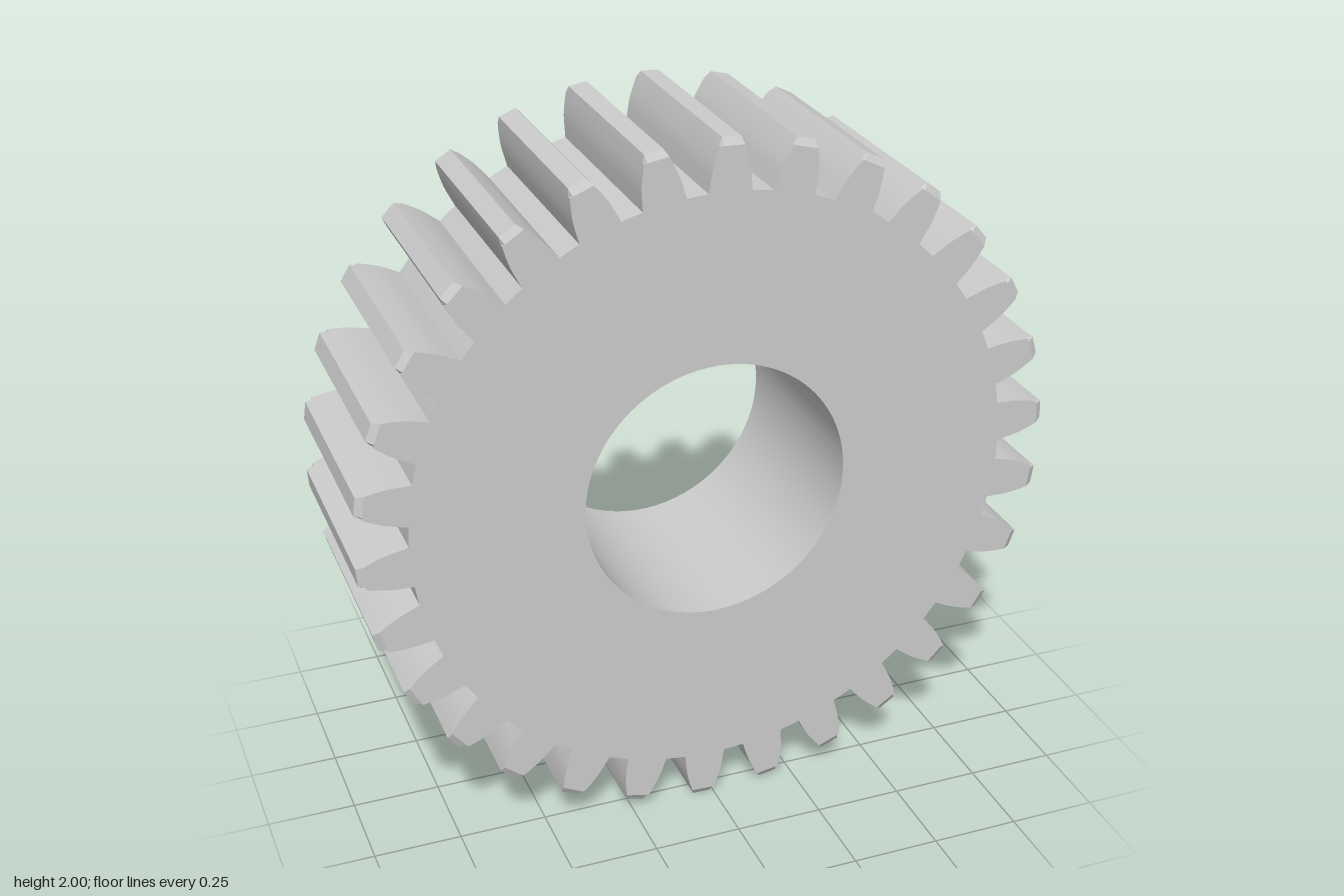
import * as THREE from 'three';
import { toCreasedNormals } from 'three/addons/utils/BufferGeometryUtils.js';

const TEETH = 30;
const FIRST_ANGLE = Math.PI / 2 - THREE.MathUtils.degToRad(2);
const HALF_WIDTH = 0.31;
const CHAMFER_Z = 0.297;
const CHAMFER_R = 0.98;
const BORE_R = 0.376;

// Tooth flank from root to tip: [radius, half thickness]
const FLANK = [
  [0.858, 0.06], [0.875, 0.058], [0.9, 0.055], [0.92, 0.052],
  [0.94, 0.047], [0.96, 0.041], [CHAMFER_R, 0.034], [1.0, 0.026],
];

function gearShape() {
  const points = [];
  const polar = (r, a) => points.push(new THREE.Vector2(r * Math.cos(a), r * Math.sin(a)));
  for (let i = 0; i < TEETH; i++) {
    const a = FIRST_ANGLE + (i / TEETH) * Math.PI * 2;
    for (const [r, h] of FLANK) polar(r, a - Math.asin(h / r));
    for (const [r, h] of [...FLANK].reverse()) polar(r, a + Math.asin(h / r));
    polar(FLANK[0][0], a + Math.PI / TEETH); // middle of the gap floor
  }
  const shape = new THREE.Shape(points);
  shape.holes.push(new THREE.Path().absarc(0, 0, BORE_R, 0, Math.PI * 2, true));
  return shape;
}

export function createModel() {
  const group = new THREE.Group();
  group.name = 'spurGear';

  // Four layers along z; the outer two pull the tooth tips in to form the chamfer
  const layers = [-HALF_WIDTH, -CHAMFER_Z, CHAMFER_Z, HALF_WIDTH];
  const geometry = new THREE.ExtrudeGeometry(gearShape(), {
    depth: 3, steps: 3, bevelEnabled: false, curveSegments: 48,
  });
  const pos = geometry.attributes.position;
  for (let i = 0; i < pos.count; i++) {
    const layer = Math.round(pos.getZ(i));
    const x = pos.getX(i), y = pos.getY(i), r = Math.hypot(x, y);
    const s = (layer === 0 || layer === 3) && r > CHAMFER_R ? CHAMFER_R / r : 1;
    pos.setXYZ(i, x * s, y * s, layers[layer]);
  }

  const gear = new THREE.Mesh(
    toCreasedNormals(geometry, Math.PI / 7),
    new THREE.MeshStandardMaterial({ color: 0xcccccc }),
  );
  gear.name = 'toothedWheel';
  gear.position.y = 1;
  group.add(gear);
  return group;
}
